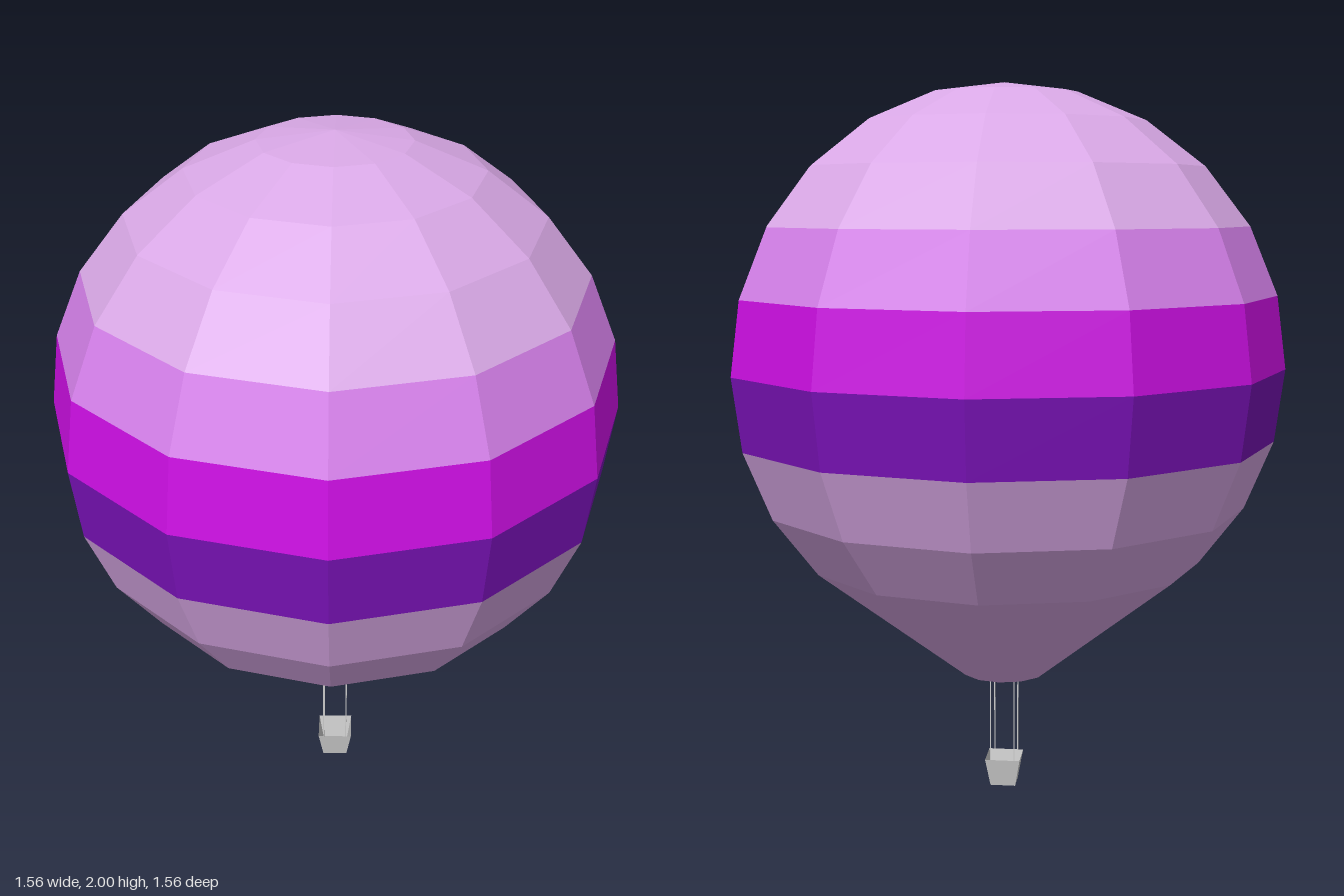
import * as THREE from 'three';

const SIDES = 12;
const RADIUS = 0.78;
const CENTRE = 1.22;
const MOUTH = { r: 0.12, y: 0.335 };

function material(color) {
  return new THREE.MeshStandardMaterial({ color, flatShading: true, side: THREE.DoubleSide });
}

function addMesh(parent, name, geometry, mat) {
  const mesh = new THREE.Mesh(geometry, mat);
  mesh.name = name;
  parent.add(mesh);
  return mesh;
}

// Ring of the envelope at a given latitude
function ring(degrees) {
  const a = THREE.MathUtils.degToRad(degrees);
  return { r: Math.max(0, RADIUS * Math.cos(a)), y: CENTRE + RADIUS * Math.sin(a) };
}

// Open faceted band between two rings
function band(low, high, sides = SIDES) {
  const g = new THREE.CylinderGeometry(high.r, low.r, high.y - low.y, sides, 1, true);
  return g.translate(0, (low.y + high.y) / 2, 0);
}

export function createModel() {
  const model = new THREE.Group();
  const pale = material(0xd9a8e6);
  const orchid = material(0xd580ea);
  const magenta = material(0xcc0fe3);
  const indigo = material(0x7a12b8);
  const grey = material(0xcccccc);

  // Envelope: 15 degree bands, coloured around the equator
  const envelope = new THREE.Group();
  envelope.name = 'envelope';
  model.add(envelope);
  const stripes = { '-15': indigo, 0: magenta, 15: orchid };
  for (let lat = -45; lat < 90; lat += 15) {
    const name = lat === 75 ? 'crown' : 'envelopeBand';
    addMesh(envelope, name, band(ring(lat), ring(lat + 15)), stripes[lat] ?? pale);
  }

  // Funnel down to the mouth, closed underneath
  addMesh(envelope, 'funnel', band(MOUTH, ring(-45)), pale);
  const mouth = addMesh(envelope, 'mouth', new THREE.CircleGeometry(MOUTH.r, SIDES), pale);
  mouth.rotation.x = Math.PI / 2;
  mouth.position.y = MOUTH.y;

  // Basket: open tapered box with a floor
  const basket = new THREE.Group();
  basket.name = 'basket';
  model.add(basket);
  const top = 0.05, bottom = 0.036, height = 0.08;
  const walls = band({ r: bottom * Math.SQRT2, y: 0 }, { r: top * Math.SQRT2, y: height }, 4);
  addMesh(basket, 'basketWalls', walls.rotateY(Math.PI / 4), grey);
  const floor = addMesh(basket, 'basketFloor', new THREE.PlaneGeometry(bottom * 2, bottom * 2), grey);
  floor.rotation.x = Math.PI / 2;

  // Four thin ropes from the rim to the mouth
  const ropeLength = MOUTH.y - height;
  for (const x of [-0.034, 0.034]) {
    for (const z of [-0.05, 0.05]) {
      const rope = addMesh(model, 'rope', new THREE.BoxGeometry(0.003, ropeLength, 0.003), grey);
      rope.position.set(x, height + ropeLength / 2, z);
    }
  }
  return model;
}
